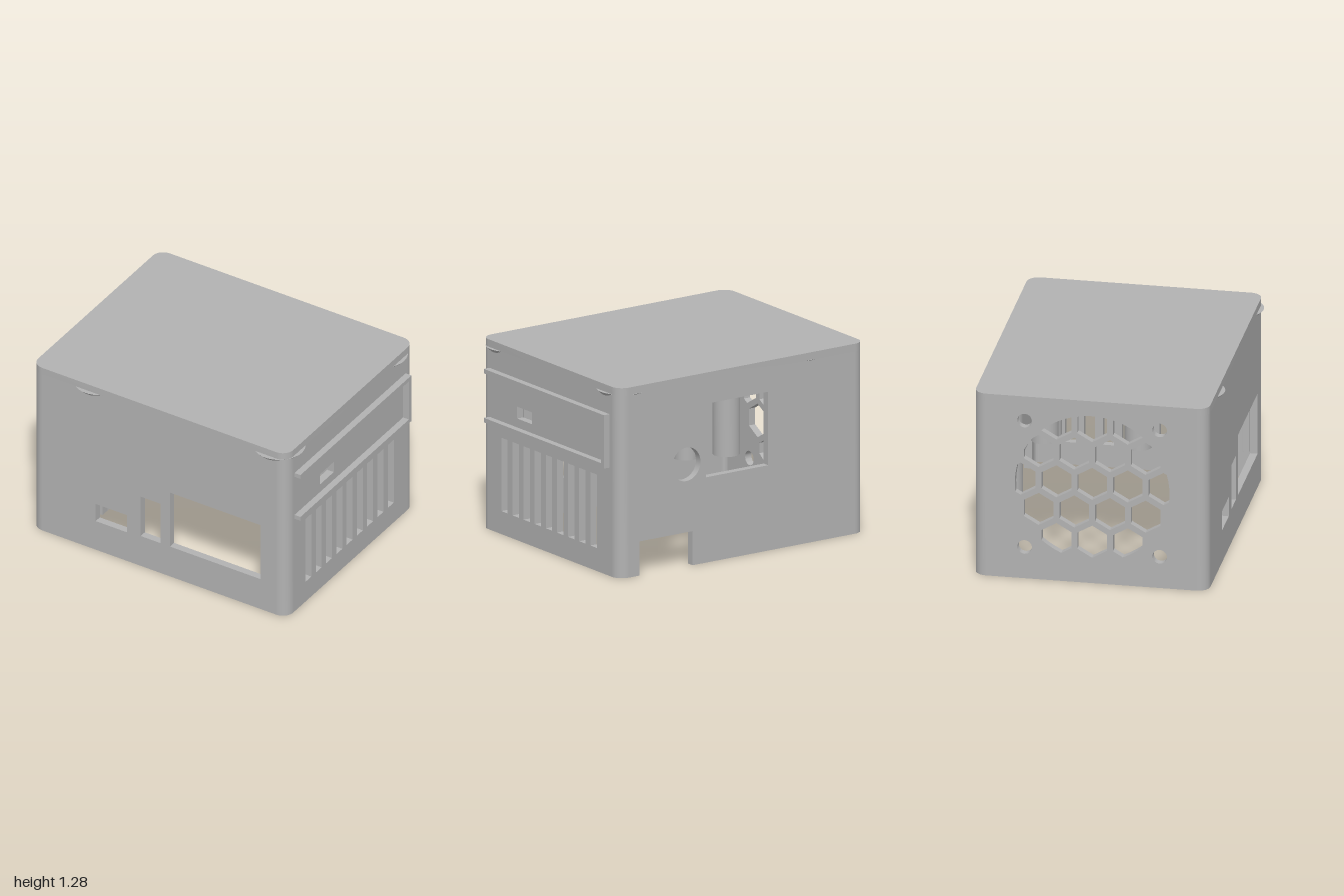
import * as THREE from 'three';
import { toCreasedNormals } from 'three/addons/utils/BufferGeometryUtils.js';

const X0 = -1, X1 = 0.955, Z0 = -0.79, Z1 = 0.755;   // outer footprint
const T = 0.05, R = 0.08, CEIL = 1.23;               // wall, corner radius, ceiling underside

const path = (pts) => new THREE.Path(pts.map(([x, y]) => new THREE.Vector2(x, y)));
const rect = (x0, x1, y0, y1) => path([[x0, y0], [x0, y1], [x1, y1], [x1, y0]]);
const ring = (cx, cy, r, n = 48) => Array.from({ length: n }, (_, i) => {
  const a = (i / n) * Math.PI * 2;
  return [cx + r * Math.cos(a), cy + r * Math.sin(a)];
});

// Part of a circle that lies inside a pointy-top hexagon
function hexInCircle(hx, hy, inner, circle) {
  let poly = circle;
  for (let k = 0; k < 6; k++) {
    const nx = Math.cos(k * Math.PI / 3), ny = Math.sin(k * Math.PI / 3);
    const d = ([x, y]) => (x - hx) * nx + (y - hy) * ny - inner;
    const out = [];
    poly.forEach((p, i) => {
      const q = poly[(i + 1) % poly.length], a = d(p), b = d(q);
      if (a <= 0) out.push(p);
      if (a * b < 0) {
        const t = a / (a - b);
        out.push([p[0] + t * (q[0] - p[0]), p[1] + t * (q[1] - p[1])]);
      }
    });
    poly = out;
  }
  return poly;
}

const area = (p) => Math.abs(p.reduce((s, a, i) => {
  const b = p[(i + 1) % p.length];
  return s + a[0] * b[1] - b[0] * a[1];
}, 0)) / 2;

export function createModel() {
  const group = new THREE.Group();
  const grey = new THREE.MeshStandardMaterial({ color: 0xb2b2b2 });
  grey.name = 'plastic grey';

  const add = (name, geo, x = 0, y = 0, z = 0) => {
    const mesh = new THREE.Mesh(toCreasedNormals(geo, 0.6), grey);
    mesh.name = name;
    mesh.position.set(x, y, z);
    group.add(mesh);
    return mesh;
  };
  const box = (name, x0, x1, y0, y1, z0, z1) => add(name,
    new THREE.BoxGeometry(x1 - x0, y1 - y0, z1 - z0), (x0 + x1) / 2, (y0 + y1) / 2, (z0 + z1) / 2);
  const panel = (outline, holes, depth = T) => {
    const shape = new THREE.Shape(outline.map(([x, y]) => new THREE.Vector2(x, y)));
    shape.holes.push(...holes);
    return new THREE.ExtrudeGeometry(shape, { depth, bevelEnabled: false, curveSegments: 24 });
  };

  // Front wall with port openings
  const fx0 = X0 + R, fx1 = X1 - R, sz0 = Z0 + R, sz1 = Z1 - R;
  add('frontWall', panel([[fx0, 0], [fx1, 0], [fx1, CEIL], [fx0, CEIL]], [
    rect(-0.51, -0.27, 0.225, 0.36),
    rect(-0.165, -0.015, 0.235, 0.545),
    rect(0.06, 0.755, 0.235, 0.66),
  ]), 0, 0, Z1 - T);

  // Back wall with bottom notch, square window and round hole
  add('backWall', panel([
    [fx0, 0], [0.37, 0], [0.37, 0.23], [0.79, 0.23], [0.79, 0], [fx1, 0], [fx1, CEIL], [fx0, CEIL],
  ], [rect(-0.23, 0.265, 0.575, 1.07), path(ring(0.42, 0.688, 0.113))]), 0, 0, Z0);

  // Right wall with vent slots and a small port
  const side = [[sz0, 0], [sz1, 0], [sz1, CEIL], [sz0, CEIL]];
  const slots = [rect(0.185, 0.35, 0.82, 0.9)];
  for (let i = 0; i < 9; i++) {
    const z = 0.492 - i * 0.1247;
    slots.push(rect(z - 0.036, z + 0.036, 0.155, 0.65));
  }
  add('rightWall', panel(side, slots).rotateY(-Math.PI / 2), X1, 0, 0);

  // Left wall with honeycomb fan grille and screw holes
  const cz = -0.01, cy = 0.665, pitch = 0.235, row = pitch * Math.sqrt(3) / 2;
  const circle = ring(cz, cy, 0.51, 72);
  const grille = [];
  for (let j = -3; j <= 4; j++) {
    for (let i = -4; i <= 4; i++) {
      const hx = cz + (i + (j % 2 ? 0 : 0.5)) * pitch;
      const cell = hexInCircle(hx, 0.495 + j * row, 0.098, circle);
      if (cell.length > 2 && area(cell) > 0.002) grille.push(path(cell));
    }
  }
  for (const sz of [-1, 1]) for (const sy of [-1, 1]) {
    grille.push(path(ring(cz + sz * 0.445, cy + sy * 0.445, 0.048, 28)));
  }
  add('fanWall', panel(side, grille).rotateY(-Math.PI / 2), X0 + T, 0, 0);

  // Rounded vertical corners
  [[fx1, sz1, 0], [fx1, sz0, 1], [fx0, sz0, 2], [fx0, sz1, 3]].forEach(([x, z, k]) => {
    const s = new THREE.Shape();
    s.absarc(0, 0, R, 0, Math.PI / 2, false);
    s.absarc(0, 0, R - T, Math.PI / 2, 0, true);
    const g = new THREE.ExtrudeGeometry(s, { depth: CEIL, bevelEnabled: false, curveSegments: 12 });
    g.rotateX(-Math.PI / 2).rotateY((k - 1) * Math.PI / 2);
    add('corner', g, x, 0, z);
  });

  // Top plate
  const top = new THREE.Shape();
  top.absarc(fx1, sz1, R, 0, Math.PI / 2, false);
  top.absarc(fx0, sz1, R, Math.PI / 2, Math.PI, false);
  top.absarc(fx0, sz0, R, Math.PI, Math.PI * 1.5, false);
  top.absarc(fx1, sz0, R, Math.PI * 1.5, Math.PI * 2, false);
  add('topPlate', new THREE.ExtrudeGeometry(top, { depth: T, bevelEnabled: false, curveSegments: 12 })
    .rotateX(Math.PI / 2), 0, CEIL + T, 0);

  // Card rail on the right side
  box('railTop', X1 - 0.01, 1, 1.06, 1.09, -0.685, 0.66);
  box('railBottom', X1 - 0.01, 1, 0.73, 0.76, -0.685, 0.66);
  box('railEnd', X1 - 0.01, 1, 0.76, 1.06, -0.685, -0.655);

  // Hollow posts hanging from the ceiling, flared at the top
  const post = (name, x, z, y, r, flare) => add(name, new THREE.LatheGeometry([
    [0, y + 0.25], [0.036, y + 0.25], [0.036, y], [r, y],
    [r, CEIL - (flare - r)], [flare, CEIL], [0, CEIL],
  ].map(([a, b]) => new THREE.Vector2(a, b)), 40), x, 0, z);

  for (const z of [0.615, -0.625]) {
    for (const x of [-0.57, 0.81]) post('cornerPost', x, z, 0.245, 0.078, 0.17);
    // Webs tying the posts to the walls
    const [z0, z1] = z > 0 ? [0.645, Z1 - T] : [Z0 + T, -0.675];
    box('postWebLeft', X0 + T, -0.49, 0.25, CEIL, z0, z1);
    box('postWebRight', 0.745, X1 - T, 0.25, CEIL, z0, z1);
  }
  for (const x of [-0.11, 0.65]) {
    for (const z of [0.13, -0.49]) post('boardStandoff', x, z, 0.605, 0.09, 0.17);
  }
  return group;
}
